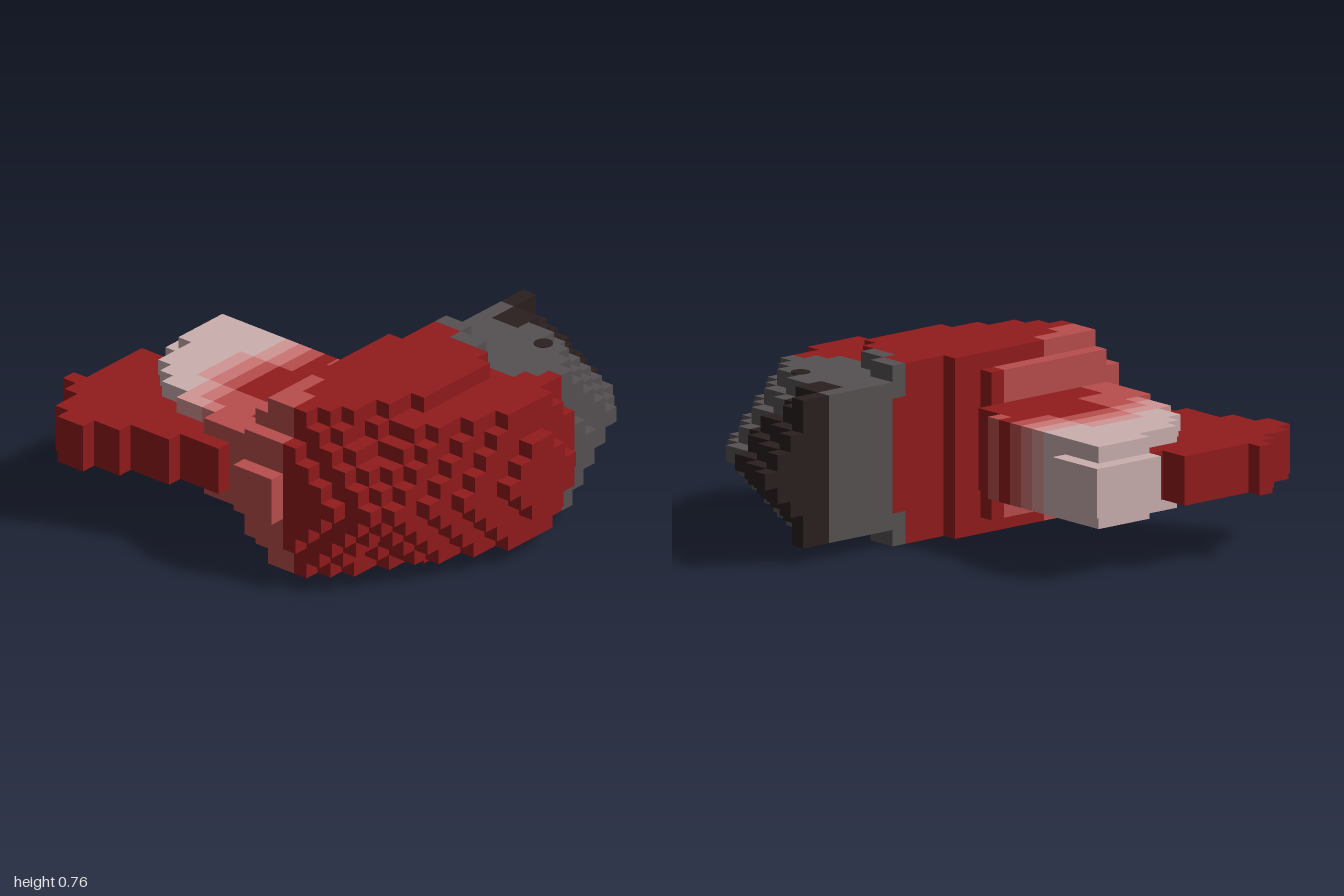
import * as THREE from 'three';

const S = 2 / 29, NX = 28, NY = 11, NZ = 29;

const mat = (name, color) => {
  const m = new THREE.MeshStandardMaterial({ color });
  m.name = name;
  return m;
};

// Right-hand end column of the body's middle layer, for each row from back to front
const BODY_END = [17, 19, 21, 23, 24, 25, 25, 25, 26, 26, 26, 27, 27, 27, 27, 27, 27,
  26, 26, 26, 25, 25, 24, 24, 23, 21, 17];
// The same for the outermost ridge layer, starting at row 10
const RIDGE_END = [18, 20, 21, 22, 22, 22, 22, 22, 22, 21, 21, 20, 20, 19, 18];
// Front row of each layer away from the middle
const BODY_FRONT = [26, 26, 25, 25, 24, 24];

// Each layer tapers by one cell per step away from the middle
function bodyEnd(d, k) {
  if (d === 5) return RIDGE_END[k - 10] ?? -1;
  if (k < 14) return BODY_END[k === 3 ? Math.max(0, 3 - d) : k - d] ?? -1;
  return Math.max(17, BODY_END[k + d] ?? 17, BODY_END[k] - d);
}

// Half-round body with a flat inner side
function inBody(i, d, k) {
  const start = k < 14 ? 17 : k < 16 ? 16 : 15;
  if (i < start || (i === 15 && d > 4)) return false;
  return k <= BODY_FRONT[d] && i <= bodyEnd(d, k);
}

function bodyColor(i, d, k) {
  if (k < 5 && i < (k < 4 ? 22 : 23)) return 'black';
  if (k < 7 && d >= 3 && i > 17 && i < (k < 6 ? 21 : 20)) return 'black';
  if (k < 10) return 'grey';
  if (d >= 4 && ((k === 10 && i < 25) || (k === 11 && i > 18 && i < 24))) return 'grey';
  if ((i === 15 && k > 16) || (i === 16 && k > 20) || (i === 17 && k > 22)) return 'rosyRed';
  return 'red';
}

// Column range of each row of the pale arm, starting at row 13
const ARM = [[2, 5], [2, 12], [2, 14], [2, 14], [2, 14], [4, 14], [4, 14], [4, 14],
  [5, 14], [6, 14], [8, 14], [11, 14]];

function inArm(i, d, k) {
  const row = ARM[k - 13];
  if (!row || i < row[0] || i > row[1]) return false;
  return d <= (i === 2 || k === 13 ? 1 : 2);
}

// Bands run from pale at the tip to red at the body
function armColor(i, d, k) {
  const c = i + (k > 16 && k < 21 ? 1 : 0), wide = k > 22 ? 1 : 0;
  if (c < 8) return 'pale';
  if (c < 9 + wide) return 'pink';
  if (c < 10 + wide) return 'rose';
  if (c < 11 || k > 22 || (k > 20 && i < 13) || (k === 14 && i > 11)) return 'rosyRed';
  return 'red';
}

// Column range of each row of the flat fin, starting at row 18
const FIN = [[3, 3], [1, 4], [1, 5], [1, 6], [1, 7], [1, 9], [0, 10], [1, 12], [2, 9], [2, 6], [3, 4]];

function inFin(i, d, k) {
  const row = FIN[k - 18];
  return !!row && d <= 1 && i >= row[0] && i <= row[1];
}

const PARTS = [
  { name: 'body', inside: inBody, color: bodyColor },
  { name: 'arm', inside: inArm, color: armColor },
  { name: 'fin', inside: inFin, color: () => 'red' },
];

function partAt(i, j, k) {
  if (i < 0 || j < 0 || k < 0 || i >= NX || j >= NY || k >= NZ) return null;
  return PARTS.find((p) => p.inside(i, Math.abs(j - 5), k)) || null;
}

// Adds one square cell side facing +/- the given axis
function addFace(out, cell, axis, sign) {
  const u = (axis + 1) % 3, v = (axis + 2) % 3;
  const corners = [[0, 0], [1, 0], [1, 1], [0, 1]].map(([a, b]) => {
    const c = [...cell];
    c[axis] += sign > 0 ? 1 : 0;
    c[u] += a;
    c[v] += b;
    return [(c[0] - NX / 2) * S, c[1] * S, (c[2] - NZ / 2) * S];
  });
  const order = sign > 0 ? [0, 1, 2, 0, 2, 3] : [0, 2, 1, 0, 3, 2];
  for (const n of order) out.push(...corners[n]);
}

export function createModel() {
  const model = new THREE.Group();
  model.name = 'blockCreature';
  const mats = {
    red: mat('red', 0x911b1c),
    rosyRed: mat('rosyRed', 0xb94e4d),
    rose: mat('rose', 0xcc7674),
    pink: mat('pink', 0xd29694),
    pale: mat('pale', 0xcbb0af),
    grey: mat('grey', 0x565152),
    black: mat('black', 0x2a1f1f),
  };

  // Collect the exposed cell sides for each part and colour
  const faces = {};
  for (let i = 0; i < NX; i++) for (let j = 0; j < NY; j++) for (let k = 0; k < NZ; k++) {
    const part = partAt(i, j, k);
    if (!part) continue;
    const color = part.color(i, Math.abs(j - 5), k);
    const list = (faces[part.name] ??= {})[color] ??= [];
    for (let axis = 0; axis < 3; axis++) for (const sign of [-1, 1]) {
      const n = [i, j, k];
      n[axis] += sign;
      if (!partAt(...n)) addFace(list, [i, j, k], axis, sign);
    }
  }

  for (const { name } of PARTS) {
    const group = new THREE.Group();
    group.name = name;
    for (const [color, list] of Object.entries(faces[name])) {
      const geo = new THREE.BufferGeometry();
      geo.setAttribute('position', new THREE.Float32BufferAttribute(list, 3));
      geo.computeVertexNormals();
      const mesh = new THREE.Mesh(geo, mats[color]);
      mesh.name = name + color[0].toUpperCase() + color.slice(1);
      group.add(mesh);
    }
    model.add(group);
  }

  // Round eyes on the top and bottom of the grey head
  for (const j of [1, 10]) {
    const eye = new THREE.Mesh(new THREE.CylinderGeometry(0.04, 0.04, 0.006, 16), mats.black);
    eye.name = j > 5 ? 'eyeTop' : 'eyeBottom';
    eye.position.set(0.585, j * S, -0.48);
    model.add(eye);
  }
  return model;
}
